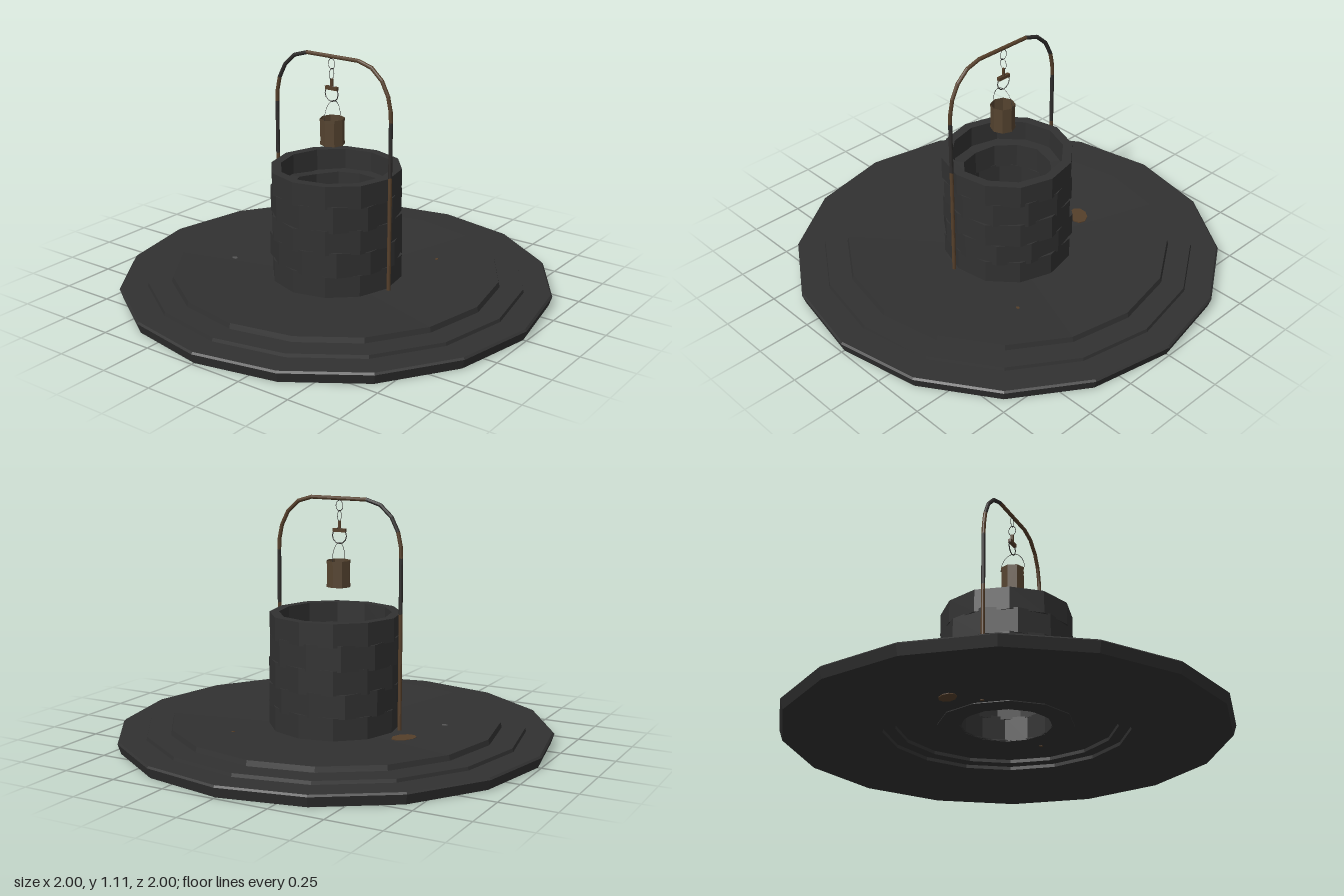
import * as THREE from 'three';

export function createModel() {
  const root = new THREE.Group();
  const mat = (name, color, side = THREE.FrontSide) => {
    const m = new THREE.MeshStandardMaterial({ color, flatShading: true, side });
    m.name = name;
    return m;
  };
  const stone = mat('dark stone', 0x313131);
  const iron = mat('dark iron', 0x2e2c2b);
  const rust = mat('rusty brown', 0x553f2a);
  const wood = mat('bucket brown', 0x55432f, THREE.DoubleSide);
  const pale = mat('pale grey', 0x555555);
  const add = (parent, name, geo, material, x = 0, y = 0, z = 0) => {
    const m = new THREE.Mesh(geo, material);
    m.name = name;
    m.position.set(x, y, z);
    parent.add(m);
    return m;
  };
  let seed = 41;
  const rand = () => (seed = (seed * 16807) % 2147483647) / 2147483647;
  const V = (x, y, z) => new THREE.Vector3(x, y, z);
  const lathe = (points, sides) =>
    new THREE.LatheGeometry(points.map(([r, y]) => new THREE.Vector2(r, y)), sides);

  // Stepped round plinth: dished on top, hollowed underneath, shaft hole in the middle
  add(root, 'steppedBase', lathe([
    [0.2, 0.058], [0.3, 0.06], [0.49, 0.066], [0.49, 0.05], [0.545, 0.05], [0.545, 0.034], [0.88, 0],
    [0.985, 0], [1, 0.045], [0.992, 0.053], [0.872, 0.053], [0.868, 0.068], [0.762, 0.068],
    [0.756, 0.092], [0.3, 0.065], [0.2, 0.063], [0.2, 0.058],
  ], 16), stone);

  // Well wall: five uneven courses of faceted masonry, the top one thinner
  const wall = new THREE.Group();
  wall.name = 'wellWall';
  root.add(wall);
  const levels = [0.056, 0.17, 0.275, 0.38, 0.49, 0.588];
  const sides = 12;
  for (let c = 0; c < 5; c++) {
    const inner = c === 4 ? 0.258 : 0.204;
    const y0 = levels[c] - (c ? 0.008 : 0);
    const y1 = levels[c + 1];
    const geo = lathe([[inner, y0], [0.302, y0], [0.302, y1], [inner, y1], [inner, y0]], sides);
    const radial = [], rise = [];
    for (let i = 0; i < sides; i++) {
      radial.push(1 + (rand() - 0.5) * 0.024);
      rise.push(c < 4 ? (rand() - 0.5) * 0.014 : 0);
    }
    const p = geo.attributes.position;
    for (let i = 0; i < p.count; i++) {
      const k = Math.floor(i / 5) % sides;
      const top = i % 5 === 2 || i % 5 === 3;
      p.setXYZ(i, p.getX(i) * radial[k], p.getY(i) + (top ? rise[k] : 0), p.getZ(i) * radial[k]);
    }
    add(wall, 'wallCourse', geo, stone).rotation.y = (c % 2 ? 0.09 : -0.07) + (rand() - 0.5) * 0.06;
  }

  // Straight rod between two points
  const rod = (parent, name, a, b, r, material) => {
    const d = b.clone().sub(a);
    const m = add(parent, name, new THREE.CylinderGeometry(r, r, d.length() + r * 0.4, 12), material);
    m.position.copy(a).add(b).multiplyScalar(0.5);
    m.quaternion.setFromUnitVectors(V(0, 1, 0), d.normalize());
  };

  // Arched metal frame, rusty with darker stretches
  const X = -0.03;
  const arch = new THREE.Group();
  arch.name = 'archFrame';
  root.add(arch);
  const half = [[0.314, 0.06], [0.314, 0.6], [0.314, 0.85], [0.312, 0.9], [0.298, 0.965],
    [0.265, 1.03], [0.21, 1.08], [0.14, 1.101], [0, 1.101]];
  const darkParts = { 1: [1], '-1': [1, 4, 5, 6] };
  for (const side of [1, -1]) {
    for (let i = 0; i < half.length - 1; i++) {
      const [z0, y0] = half[i], [z1, y1] = half[i + 1];
      rod(arch, 'archSegment', V(X, y0, z0 * side), V(X, y1, z1 * side), 0.009,
        darkParts[side].includes(i) ? iron : rust);
    }
  }

  // Chain and hook
  const chain = new THREE.Group();
  chain.name = 'chainAndHook';
  chain.position.set(X, 0, -0.004);
  root.add(chain);
  const topLink = add(chain, 'topLink', new THREE.TorusGeometry(0.018, 0.0014, 4, 12), iron, 0, 1.068, 0);
  topLink.rotation.y = Math.PI / 2;
  topLink.scale.y = 1.35;
  const lowLink = add(chain, 'lowerLink', new THREE.TorusGeometry(0.018, 0.0014, 4, 12), iron, 0, 1.022, 0);
  lowLink.scale.y = 1.4;
  rod(chain, 'hookShank', V(0, 0.998, 0), V(0, 0.96, 0), 0.0075, rust);
  add(chain, 'hookBlock', new THREE.BoxGeometry(0.016, 0.016, 0.064), rust, 0, 0.957, 0);
  add(chain, 'hookRing', new THREE.TorusGeometry(0.036, 0.0025, 4, 12), iron, 0, 0.932, 0).rotation.y = Math.PI / 2;

  // Bucket with rim bands and a wire handle
  const bucket = new THREE.Group();
  bucket.name = 'bucket';
  bucket.position.set(X, 0.7, 0);
  root.add(bucket);
  add(bucket, 'bucketSide', new THREE.CylinderGeometry(0.055, 0.055, 0.12, 8, 1, true), wood, 0, 0.06, 0);
  add(bucket, 'bucketBottom', new THREE.CylinderGeometry(0.053, 0.053, 0.008, 8), wood, 0, 0.006, 0);
  for (const y of [0.006, 0.114])
    add(bucket, 'bucketBand', new THREE.CylinderGeometry(0.057, 0.057, 0.012, 8, 1, true), wood, 0, y, 0);
  const handle = add(bucket, 'bucketHandle', new THREE.TorusGeometry(0.06, 0.0012, 4, 14, Math.PI), iron, 0, 0.12, 0);
  handle.scale.y = 1.33;

  // Stains and chips on the dished paving; the big stain shows through below
  const stain = (name, rx, rz, height, material, x, y, z, turn = 0) => {
    const m = add(root, name, new THREE.CylinderGeometry(1, 1, height, 9), material, x, y, z);
    m.scale.set(rx, 1, rz);
    m.rotation.y = turn;
  };
  stain('rustStain', 0.06, 0.043, 0.006, rust, 0.09, 0.0725, -0.395, -0.6);
  stain('rustStainBelow', 0.05, 0.036, 0.004, rust, 0.09, 0.0625, -0.395, -0.6);
  stain('paleChip', 0.011, 0.015, 0.004, pale, -0.17, 0.077, -0.475);
  stain('smallRustChip', 0.009, 0.007, 0.004, rust, 0.385, 0.077, 0.31);
  return root;
}
